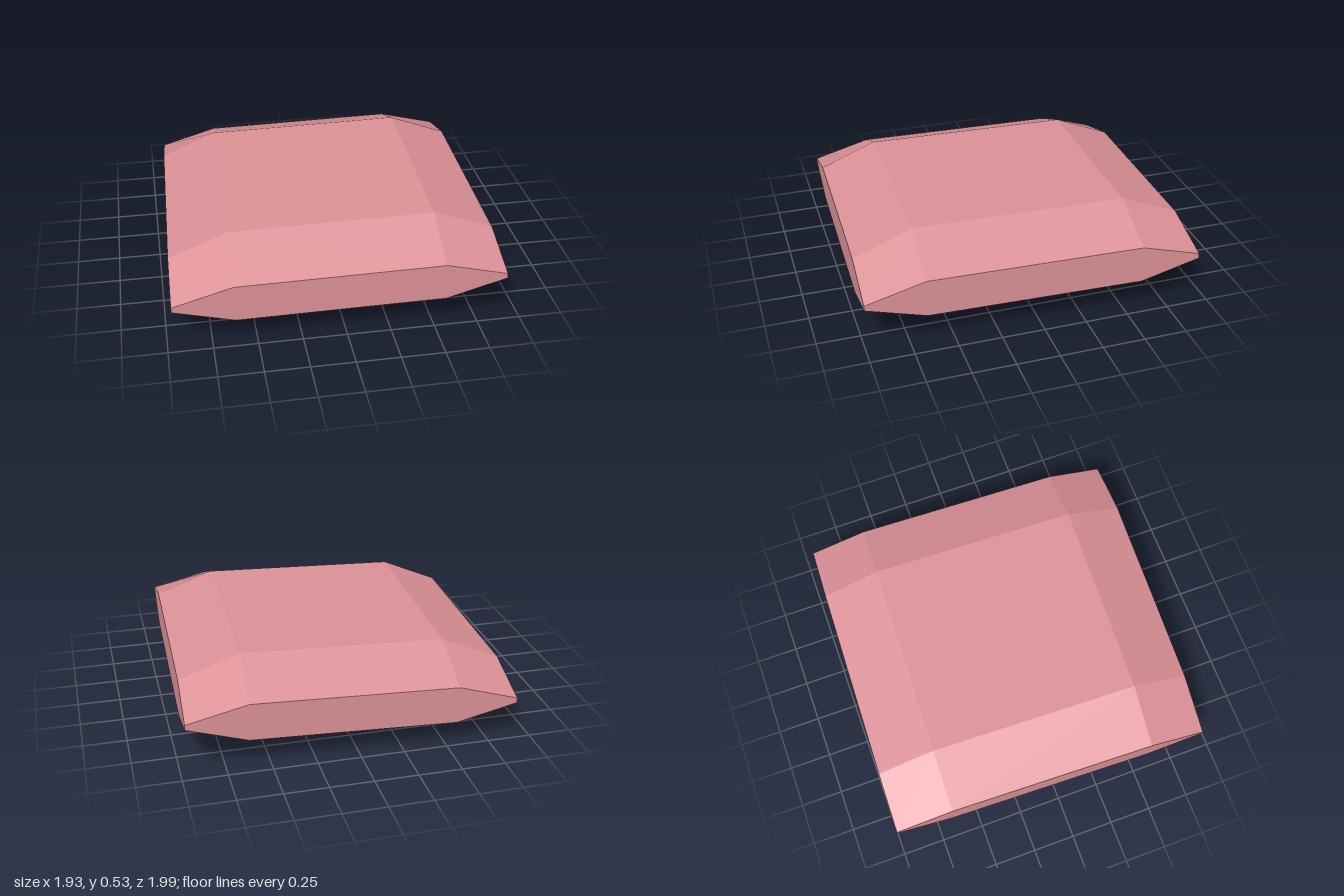
import * as THREE from 'three';

// Grid lines across the width and depth, and the half thickness for
// 0, 1 or 2 outer grid lines meeting at a point (centre, edge, corner).
const XS = [-0.938, -0.59, 0.59, 0.938];
const ZS = [-0.97, -0.625, 0.625, 0.97];
const HALF = [0.248, 0.11, 0.015];

function gridPoint(i, j, side) {
  const outer = (i % 3 === 0 ? 1 : 0) + (j % 3 === 0 ? 1 : 0);
  return new THREE.Vector3(XS[i], side * HALF[outer], ZS[j]);
}

function cushionGeometry() {
  const positions = [];
  const normals = [];

  // One quad with a single flat normal, corners counter-clockwise from outside
  function quad(a, b, c, d) {
    const n = c.clone().sub(a).cross(d.clone().sub(b)).normalize();
    for (const p of [a, b, c, a, c, d]) {
      positions.push(p.x, p.y, p.z);
      normals.push(n.x, n.y, n.z);
    }
  }

  // Upper and lower faces with their sloping borders
  for (let i = 0; i < 3; i++) {
    for (let j = 0; j < 3; j++) {
      const top = (a, b) => gridPoint(a, b, 1);
      const low = (a, b) => gridPoint(a, b, -1);
      quad(top(i, j), top(i, j + 1), top(i + 1, j + 1), top(i + 1, j));
      quad(low(i, j), low(i + 1, j), low(i + 1, j + 1), low(i, j + 1));
    }
  }

  // Upright rim that tapers towards the corners
  const wall = (p, q) => quad(
    gridPoint(...p, -1), gridPoint(...q, -1), gridPoint(...q, 1), gridPoint(...p, 1));
  for (let k = 0; k < 3; k++) {
    wall([k, 3], [k + 1, 3]); // front
    wall([k + 1, 0], [k, 0]); // back
    wall([3, k + 1], [3, k]); // left (+x)
    wall([0, k], [0, k + 1]); // right (-x)
  }

  const geometry = new THREE.BufferGeometry();
  geometry.setAttribute('position', new THREE.Float32BufferAttribute(positions, 3));
  geometry.setAttribute('normal', new THREE.Float32BufferAttribute(normals, 3));
  return geometry;
}

export function createModel() {
  const group = new THREE.Group();
  group.name = 'cushionModel';

  const pink = new THREE.MeshStandardMaterial({ color: 0xdc9297 });
  pink.name = 'dusty pink';

  // Cushion, resting slightly turned and tilted
  const cushion = new THREE.Mesh(cushionGeometry(), pink);
  cushion.name = 'cushion';
  cushion.position.y = 0.265;
  cushion.rotation.set(0, -0.029, 0.028);
  group.add(cushion);

  return group;
}
